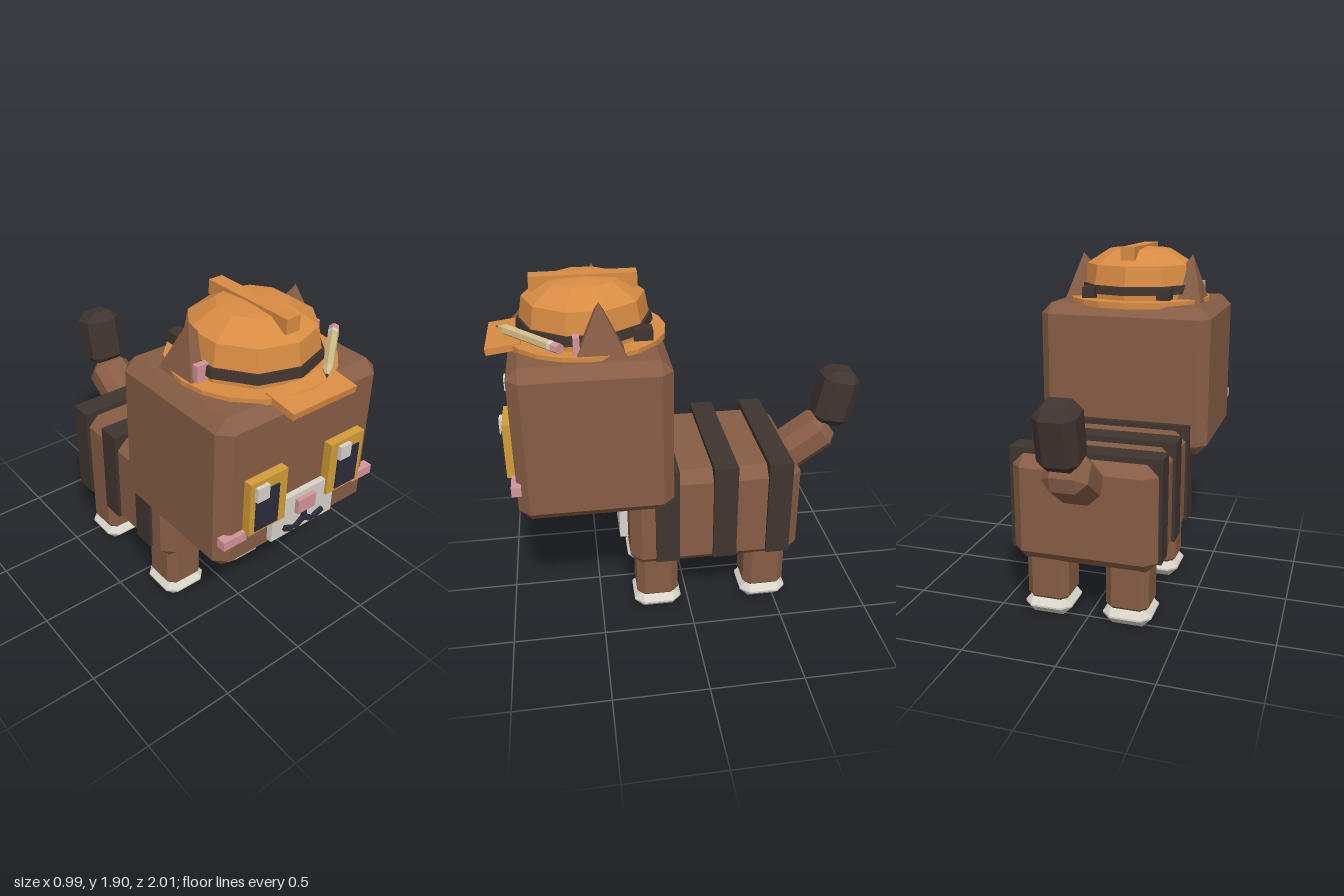
import * as THREE from 'three';
import { ConvexGeometry } from 'three/addons/geometries/ConvexGeometry.js';

const mat = (name, color) => {
  const m = new THREE.MeshStandardMaterial({ color });
  m.name = name;
  return m;
};

export function createModel() {
  const group = new THREE.Group();
  const brown = mat('brown fur', 0x875d45);
  const dark = mat('dark fur', 0x40352f);
  const orange = mat('orange helmet', 0xd88c43);
  const white = mat('white fur', 0xd8d3c9);
  const gold = mat('gold iris', 0xd29d36);
  const navy = mat('navy pupil', 0x2c2c3c);
  const pink = mat('pink', 0xd4959a);
  const wood = mat('pencil wood', 0xcfbc86);

  const add = (name, geo, material, x = 0, y = 0, z = 0, parent = group) => {
    const m = new THREE.Mesh(geo, material);
    m.name = name;
    m.position.set(x, y, z);
    parent.add(m);
    return m;
  };
  // Unshared normals give crisp facets
  const faceted = (geo) => {
    const g = geo.index ? geo.toNonIndexed() : geo;
    g.computeVertexNormals();
    return g;
  };
  // Box given by its lower and upper corners
  const block = (name, material, [x0, x1], [y0, y1], [z0, z1]) =>
    add(name, new THREE.BoxGeometry(x1 - x0, y1 - y0, z1 - z0), material,
      (x0 + x1) / 2, (y0 + y1) / 2, (z0 + z1) / 2);
  // Box with every edge cut by c
  const chamferBox = (w, h, d, c) => {
    const s = [w / 2, h / 2, d / 2], pts = [];
    for (const i of [-1, 1]) for (const j of [-1, 1]) for (const k of [-1, 1])
      for (let a = 0; a < 3; a++) {
        const q = s.map((v, n) => (n === a ? v : v - c));
        pts.push(new THREE.Vector3(q[0] * i, q[1] * j, q[2] * k));
      }
    return new ConvexGeometry(pts);
  };

  // Body, chest and stripes
  add('body', chamferBox(0.78, 0.58, 0.94, 0.06), brown, 0, 0.62, -0.14);
  block('chest', white, [-0.18, 0.18], [0.41, 0.8], [0.32, 0.375]);
  for (const z of [0.13, -0.185, -0.483])
    block('stripe', dark, [-0.408, 0.408], [0.38, 0.94], [z - 0.065, z + 0.065]);

  // Legs and paws
  for (const x of [-0.22, 0.22]) for (const z of [0.18, -0.438]) {
    add('leg', chamferBox(0.235, 0.36, 0.235, 0.042), brown, x, 0.25, z);
    add('paw', chamferBox(0.266, 0.11, 0.266, 0.05), white, x, 0.055, z);
  }

  // Tail
  add('tailBase', chamferBox(0.235, 0.33, 0.21, 0.055), brown, 0, 0.865, -0.715).rotation.x = -0.97;
  add('tailTip', chamferBox(0.214, 0.33, 0.21, 0.05), dark, 0, 1.13, -0.88).rotation.x = -0.2;

  // Head and face
  add('head', chamferBox(0.99, 0.84, 0.8, 0.06), brown, 0, 1.17, 0.5);
  for (const s of [-1, 1]) {
    const span = (a, b) => (s > 0 ? [a, b] : [-b, -a]);
    block('eye', gold, span(0.14, 0.365), [0.963, 1.26], [0.89, 0.946]);
    block('pupil', navy, span(0.193, 0.333), [0.98, 1.2], [0.94, 0.954]);
    const h = s > 0 ? 0.19 : -0.34;
    block('eyeHighlight', white, [h, h + 0.072], [1.16, 1.237], [0.94, 0.967]);
    block('cheek', pink, span(0.358, 0.493), [0.925, 0.975], [0.874, 0.924]);
    // Mouth strokes
    const stroke = (x0, y0, x1, y1) => {
      const m = add('mouth', new THREE.BoxGeometry(Math.hypot(x1 - x0, y1 - y0), 0.028, 0.025),
        navy, s * (x0 + x1) / 2, (y0 + y1) / 2, 0.936);
      m.rotation.z = s * Math.atan2(y1 - y0, x1 - x0);
    };
    stroke(0, 0.893, 0.06, 0.852);
    stroke(0.07, 0.857, 0.128, 0.883);
    // Ears lean outwards
    const ear = [[0.41, 1.58, 0.31], [0.41, 1.58, 0.57], [0.13, 1.58, 0.31], [0.13, 1.58, 0.57], [0.33, 1.857, 0.44]];
    add('ear', new ConvexGeometry(ear.map(([x, y, z]) => new THREE.Vector3(s * x, y, z))), brown);
    block('innerEar', pink, span(0.315, 0.382), [1.615, 1.7], [0.54, 0.572]);
    block('helmetClip', dark, span(0.18, 0.255), [1.62, 1.68], [0.175, 0.27]);
  }
  block('muzzle', white, [-0.203, 0.203], [0.83, 1.053], [0.89, 0.932]);
  block('nose', pink, [-0.058, 0.058], [0.945, 1.025], [0.92, 0.956]);
  block('mouthLine', navy, [-0.014, 0.014], [0.88, 0.95], [0.924, 0.948]);

  // Hard hat
  const profile = [[0.335, 1.59], [0.335, 1.67], [0.312, 1.8], [0.18, 1.883], [0, 1.897]]
    .map(([x, y]) => new THREE.Vector2(x, y));
  add('helmetDome', faceted(new THREE.LatheGeometry(profile, 10)), orange, 0, 0, 0.5);
  add('helmetBrim', faceted(new THREE.CylinderGeometry(0.417, 0.417, 0.035, 20)), orange, 0, 1.595, 0.5);
  add('helmetBand', faceted(new THREE.CylinderGeometry(0.345, 0.352, 0.048, 10)), dark, 0, 1.665, 0.5);
  block('helmetCrest', orange, [-0.04, 0.04], [1.83, 1.905], [0.226, 0.768]);
  add('helmetVisor', new THREE.BoxGeometry(0.39, 0.035, 0.18), orange, 0, 1.593, 0.91).rotation.x = 0.13;

  // Pencil tucked into the band
  const pencil = new THREE.Group();
  pencil.name = 'pencil';
  const tip = new THREE.Vector3(0.05, 1.665, 0.945), end = new THREE.Vector3(0.42, 1.668, 0.635);
  pencil.position.copy(tip);
  pencil.quaternion.setFromUnitVectors(new THREE.Vector3(0, 1, 0), end.clone().sub(tip).normalize());
  const rod = (name, material, r0, r1, y0, y1) =>
    add(name, faceted(new THREE.CylinderGeometry(r1, r0, y1 - y0, 6)), material, 0, (y0 + y1) / 2, 0, pencil);
  rod('pencilLead', dark, 0.001, 0.008, 0, 0.025);
  rod('pencilPoint', wood, 0.008, 0.027, 0.025, 0.08);
  rod('pencilShaft', wood, 0.027, 0.027, 0.08, 0.415);
  rod('pencilFerrule', white, 0.028, 0.028, 0.415, 0.44);
  rod('pencilEraser', pink, 0.027, 0.027, 0.44, 0.485);
  group.add(pencil);

  return group;
}
